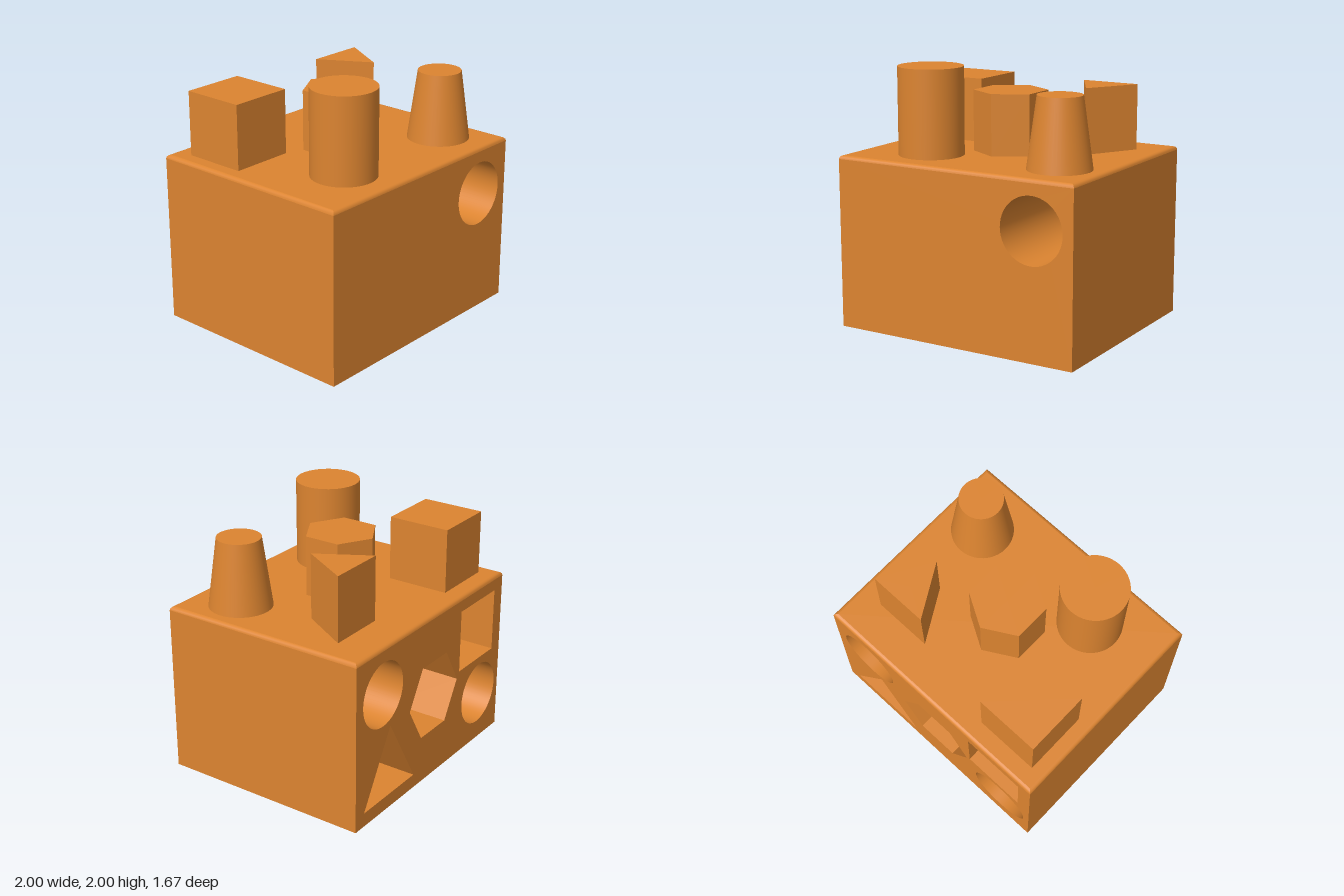
import * as THREE from 'three';

const W = 1, D = 0.833, H = 1.333, BEVEL = 0.028;

export function createModel() {
  const model = new THREE.Group();
  const orange = new THREE.MeshStandardMaterial({ color: 0xdc8430, side: THREE.DoubleSide });
  orange.name = 'orange';

  const add = (name, geometry, x = 0, y = 0, z = 0) => {
    const mesh = new THREE.Mesh(geometry, orange);
    mesh.name = name;
    mesh.position.set(x, y, z);
    model.add(mesh);
  };
  const flat = (geometry) => {
    const g = geometry.toNonIndexed();
    g.computeVertexNormals();
    return g;
  };

  // Sockets in the back: sides n, radius r, first corner angle a, depth d
  const sockets = [
    { name: 'throughHole', x: 0.665, y: 0.965, r: 0.252, n: 48, a: 0, d: 2 * D, open: true },
    { name: 'roundSocket', x: -0.695, y: 0.4, r: 0.253, n: 48, a: 0, d: 0.5 },
    { name: 'squareSocket', x: -0.635, y: 0.965, r: 0.25 * Math.SQRT2, n: 4, a: Math.PI / 4, d: 0.5 },
    { name: 'hexagonSocket', x: -0.02, y: 0.667, r: 0.333, n: 6, a: 0, d: 0.49 },
    { name: 'triangleSocket', x: 0.568, y: 0.298, r: 0.378, n: 3, a: Math.PI / 2, d: 0.33 },
  ];
  const outline = ({ x, y, r, n, a }) => {
    const points = [];
    for (let i = 0; i < n; i++) {
      const t = a + (i / n) * Math.PI * 2;
      points.push(new THREE.Vector2(x + r * Math.cos(t), y + r * Math.sin(t)));
    }
    return new THREE.Path(points);
  };

  // Block faces, with the openings cut out
  const face = (holes) => {
    const h = H - BEVEL;
    const shape = new THREE.Shape([
      new THREE.Vector2(-W, 0), new THREE.Vector2(W, 0),
      new THREE.Vector2(W, h), new THREE.Vector2(-W, h),
    ]);
    shape.holes = holes.map(outline);
    return new THREE.ShapeGeometry(shape);
  };
  add('blockFront', face([sockets[0]]), 0, 0, D);
  const back = face(sockets);
  const index = back.index.array;
  for (let i = 0; i < index.length; i += 3) [index[i], index[i + 1]] = [index[i + 1], index[i]];
  back.computeVertexNormals();
  add('blockBack', back, 0, 0, -D);
  for (const s of [1, -1]) {
    const side = new THREE.PlaneGeometry(2 * D, H - BEVEL).rotateY(s * Math.PI / 2);
    add(s > 0 ? 'blockLeftSide' : 'blockRightSide', side, s * W, (H - BEVEL) / 2, 0);
  }
  add('blockBottom', new THREE.PlaneGeometry(2 * W, 2 * D).rotateX(Math.PI / 2));
  add('blockTop', new THREE.PlaneGeometry(2 * (W - BEVEL), 2 * (D - BEVEL)).rotateX(-Math.PI / 2), 0, H, 0);

  // Softened rim around the top, lofted from rectangles
  const steps = 3, positions = [], triangles = [];
  const corners = [[1, 1], [1, -1], [-1, -1], [-1, 1]];
  corners.forEach((c, k) => {
    const next = corners[(k + 1) % 4];
    const base = positions.length / 3;
    for (let i = 0; i <= steps; i++) {
      const t = (i / steps) * Math.PI / 2;
      const inset = BEVEL * (1 - Math.cos(t)), y = H - BEVEL + BEVEL * Math.sin(t);
      for (const [sx, sz] of [c, next]) positions.push(sx * (W - inset), y, sz * (D - inset));
      if (i < steps) {
        const p = base + i * 2;
        triangles.push(p, p + 1, p + 3, p, p + 3, p + 2);
      }
    }
  });
  const rim = new THREE.BufferGeometry();
  rim.setAttribute('position', new THREE.Float32BufferAttribute(positions, 3));
  rim.setIndex(triangles);
  rim.computeVertexNormals();
  add('topRim', rim);

  // Socket walls and floors
  for (const s of sockets) {
    let wall = new THREE.CylinderGeometry(s.r, s.r, s.d, s.n, 1, true, s.a + Math.PI / 2);
    wall.rotateX(Math.PI / 2);
    if (s.n < 12) wall = flat(wall);
    add(s.name + 'Wall', wall, s.x, s.y, -D + s.d / 2);
    if (!s.open) add(s.name + 'Floor', new THREE.CircleGeometry(s.r, s.n, s.a), s.x, s.y, -D + s.d);
  }

  // Pegs standing on top
  const peg = (name, x, z, top, rTop, rBottom, n) => {
    const h = top - H;
    const g = new THREE.CylinderGeometry(rTop, rBottom, h, n);
    add(name, n < 12 ? flat(g) : g, x, H + h / 2, z);
  };
  peg('roundPeg', -0.435, 0.43, 2, 0.248, 0.248, 48);
  peg('taperedPeg', 0.665, 0.43, 1.867, 0.166, 0.24, 48);
  peg('hexagonPeg', 0, 0, 1.8, 0.283, 0.283, 6);
  peg('trianglePeg', 0.565, -0.403, 1.835, 0.265, 0.265, 3);
  add('squarePeg', new THREE.BoxGeometry(0.497, 0.5, 0.497), -0.633, H + 0.25, -0.437);

  return model;
}
